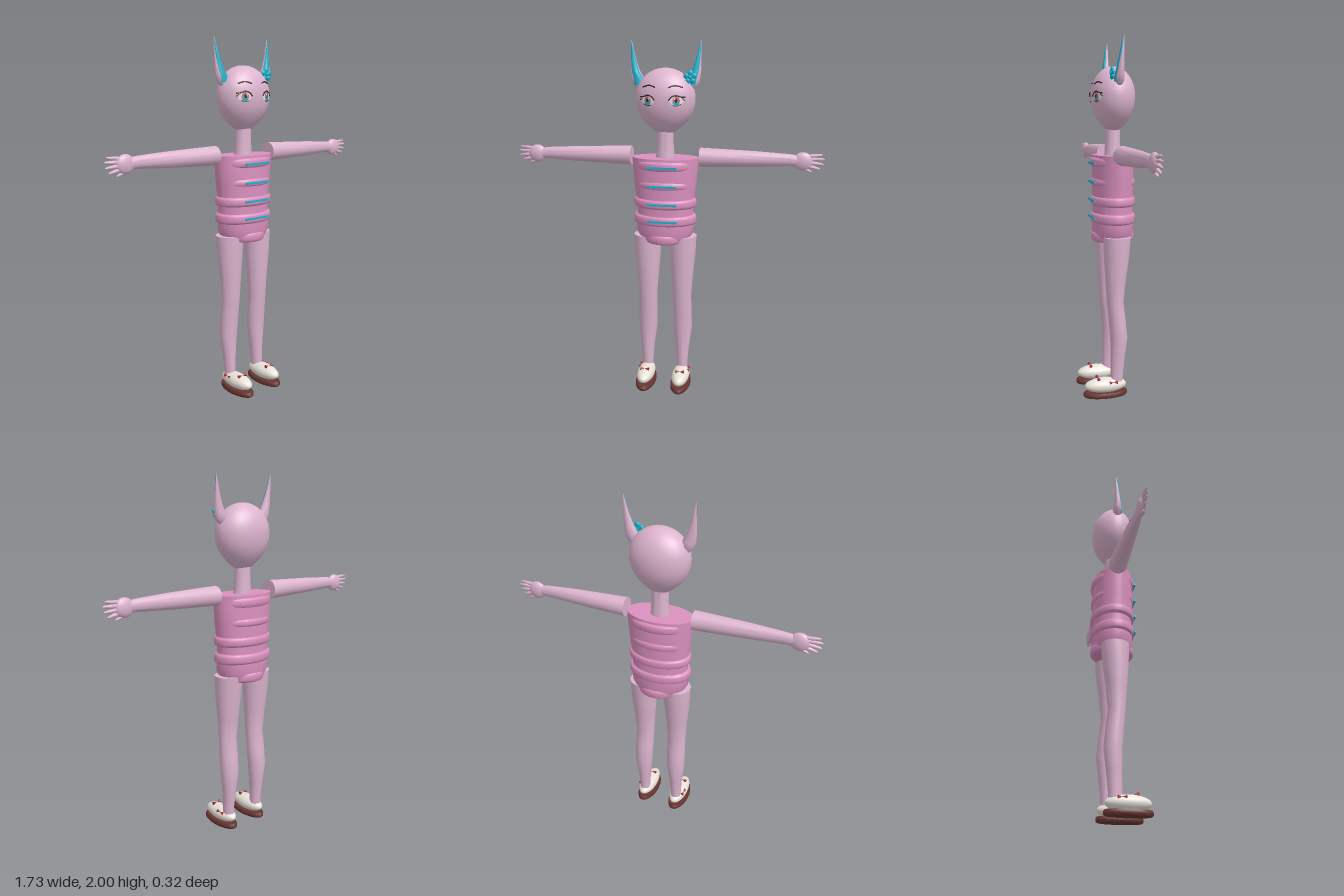
import * as THREE from 'three';
import { toCreasedNormals } from 'three/addons/utils/BufferGeometryUtils.js';

const mat = (name, color) => {
  const m = new THREE.MeshStandardMaterial({ color });
  m.name = name;
  return m;
};

// Closed tube through elliptical sections [y, rx, rz, cx, cz], listed from top to bottom
function loft(sections, sides = 32) {
  const last = sections.length - 1;
  const g = new THREE.CylinderGeometry(1, 1, 1, sides, last);
  const p = g.attributes.position;
  for (let i = 0; i < p.count; i++) {
    const [y, rx, rz, cx = 0, cz = 0] = sections[Math.round((0.5 - p.getY(i)) * last)];
    p.setXYZ(i, p.getX(i) * rx + cx, y, p.getZ(i) * rz + cz);
  }
  return toCreasedNormals(g, 0.8);
}

// Mirror across x = 0, reversing the corner order so faces still point outwards
function mirrored(geometry) {
  const g = geometry.index ? geometry.toNonIndexed() : geometry.clone();
  g.scale(-1, 1, 1);
  for (const a of Object.values(g.attributes)) {
    const n = a.itemSize;
    for (let i = 0; i < a.count; i += 3)
      for (let k = 0; k < n; k++) {
        const u = (i + 1) * n + k, v = (i + 2) * n + k;
        [a.array[u], a.array[v]] = [a.array[v], a.array[u]];
      }
  }
  return g;
}

// Egg-shaped head: half width at a height, and front surface depth at a point
const MID = -0.036, HEAD_Y = 1.695, HEAD_R = 0.165;
function headRadius(y) {
  const t = y > HEAD_Y ? (y - HEAD_Y) / 0.16 : (HEAD_Y - y) / 0.205;
  return HEAD_R * Math.sqrt(Math.max(0, 1 - t * t)) * (y > HEAD_Y ? 1 : 1 - 0.4 * t ** 3);
}
function faceZ(x, y) {
  const r = headRadius(y);
  return MID + 0.73 * Math.sqrt(Math.max(0, r * r - x * x));
}

// Thin ellipse lying on the face
function facePatch(x, y, rx, ry, lift) {
  const g = new THREE.RingGeometry(0, 1, 28, 4);
  const p = g.attributes.position;
  for (let i = 0; i < p.count; i++) {
    const px = x + p.getX(i) * rx, py = y + p.getY(i) * ry;
    p.setXYZ(i, px, py, faceZ(px, py) + lift);
  }
  g.computeVertexNormals();
  return g;
}

// Thin line lying on the face
function faceLine(points, radius) {
  const pts = points.map(([x, y]) => new THREE.Vector3(x, y, faceZ(x, y) + 0.004));
  return new THREE.TubeGeometry(new THREE.CatmullRomCurve3(pts), 16, radius, 6);
}

export function createModel() {
  const model = new THREE.Group();
  model.name = 'figure';
  const skin = mat('skin', 0xdcb4ce);
  const suit = mat('pink suit', 0xda90be);
  const teal = mat('teal', 0x1cb2cc);
  const white = mat('off white', 0xf0ebe2);
  const brown = mat('sole brown', 0x693632);
  const red = mat('red', 0xa83a3c);
  const dark = mat('lash dark', 0x38222e);
  const pink = mat('iris pink', 0xcf7886);

  const add = (name, geometry, material) => {
    const m = new THREE.Mesh(geometry, material);
    m.name = name;
    model.add(m);
  };
  const pair = (name, geometry, material) => {
    add(name + 'Left', geometry, material);
    add(name + 'Right', mirrored(geometry), material);
  };

  // Head and neck
  const headSections = [];
  for (let i = 0; i <= 32; i++) {
    const c = Math.cos((i / 32) * Math.PI);
    const y = HEAD_Y + c * (c > 0 ? 0.16 : 0.205);
    const r = Math.max(headRadius(y), 0.0005);
    headSections.push([y, r, r * 0.73, 0, MID]);
  }
  add('head', loft(headSections, 48), skin);
  add('neck', loft([[1.53, 0.046, 0.04, 0, MID], [1.45, 0.046, 0.041, 0, MID], [1.355, 0.054, 0.047, 0, MID]]), skin);

  // Eyes and brows
  pair('eyeWhite', facePatch(0.078, 1.688, 0.036, 0.026, 0.002), white);
  pair('iris', facePatch(0.077, 1.688, 0.019, 0.025, 0.0035), pink);
  pair('irisGlow', facePatch(0.077, 1.675, 0.014, 0.011, 0.005), teal);
  pair('pupil', facePatch(0.077, 1.692, 0.007, 0.012, 0.006), dark);
  pair('eyeGlint', facePatch(0.07, 1.699, 0.005, 0.006, 0.0075), white);
  pair('upperLash', faceLine([[0.038, 1.69], [0.053, 1.709], [0.078, 1.716], [0.102, 1.708], [0.122, 1.706]], 0.0035), dark);
  pair('outerLash', faceLine([[0.108, 1.702], [0.114, 1.694], [0.122, 1.69]], 0.0022), dark);
  pair('lowerLash', faceLine([[0.055, 1.667], [0.078, 1.661], [0.1, 1.67]], 0.0018), dark);
  pair('brow', faceLine([[0.034, 1.757], [0.07, 1.767], [0.108, 1.757]], 0.0035), dark);

  // Ears with teal inner faces
  const ear = [
    [2.0, 0.001, 0.001, 0.189, -0.05], [1.95, 0.008, 0.007, 0.184, -0.047],
    [1.9, 0.015, 0.012, 0.178, -0.043], [1.84, 0.026, 0.019, 0.168, -0.038],
    [1.8, 0.036, 0.024, 0.154, -0.036], [1.77, 0.034, 0.025, 0.15, -0.036],
    [1.745, 0.01, 0.012, 0.148, -0.036],
  ];
  pair('ear', loft(ear, 20), skin);
  pair('innerEar', loft(ear.slice(0, 6).map(([y, rx, rz, cx, cz]) =>
    [y - 0.006, rx * 0.86, rz * 0.9, cx - rx * 0.15, cz + 0.006]), 20), teal);

  // Flower by the left ear
  for (let i = 0; i < 5; i++) {
    const a = (i / 5) * Math.PI * 2 + Math.PI / 2;
    const petal = new THREE.SphereGeometry(0.0155, 14, 10).scale(1, 1, 0.55);
    add('flowerPetal', petal.translate(0.14 + 0.022 * Math.cos(a), 1.808 + 0.022 * Math.sin(a), 0.002), teal);
  }
  add('flowerCentre', new THREE.SphereGeometry(0.011, 12, 8).translate(0.14, 1.808, 0.006), teal);

  // Torso
  add('torso', loft([
    [1.37, 0.188, 0.108, 0, MID], [1.3, 0.183, 0.112, 0, MID], [1.2, 0.174, 0.113, 0, MID],
    [1.08, 0.158, 0.11, 0, MID], [1.0, 0.163, 0.112, 0, MID], [0.94, 0.162, 0.113, 0, MID],
    [0.905, 0.14, 0.105, 0, MID],
  ], 48), suit);

  // Raised bands: [bottom, top, rx, rz]
  const bands = [
    [1.305, 1.357, 0.172, 0.123], [1.2, 1.245, 0.168, 0.121], [1.09, 1.142, 0.178, 0.122],
    [0.992, 1.048, 0.178, 0.122], [0.885, 0.94, 0.122, 0.12],
  ];
  for (const [y0, y1, rx, rz] of bands) {
    const ring = (y, s) => [y, rx - s, rz - s, 0, MID];
    add('torsoBand', loft([ring(y1, 0.012), ring(y1 - 0.006, 0.003), ring(y1 - 0.014, 0),
      ring(y0 + 0.014, 0), ring(y0 + 0.006, 0.003), ring(y0, 0.012)], 48), suit);
  }
  for (const y of [1.326, 1.221, 1.119, 1.022])
    add('chestStripe', new THREE.BoxGeometry(0.165, 0.011, 0.009).translate(0, y, 0.084), teal);

  // Arms, built upright and turned outwards
  const AY = 1.373;
  pair('arm', loft([
    [0.73, 0.03, 0.02, -AY + 0.004, -0.041], [0.68, 0.033, 0.022, -AY, -0.041],
    [0.5, 0.043, 0.036, -AY, -0.041], [0.35, 0.048, 0.045, -AY, -0.042], [0.193, 0.053, 0.053, -AY, -0.043],
  ]).rotateZ(-Math.PI / 2), skin);
  pair('palm', new THREE.SphereGeometry(0.05, 24, 16).scale(1.04, 1, 0.5).translate(0.752, 1.368, -0.041), skin);

  // Fingers: [root x, root y, length, angle]
  const fingers = [[0.775, 1.396, 0.08, 0.12], [0.785, 1.38, 0.082, 0.03], [0.785, 1.362, 0.078, -0.1],
    [0.775, 1.345, 0.072, -0.24], [0.745, 1.335, 0.062, -0.4]];
  for (const [x, y, len, a] of fingers) {
    const g = loft([[len, 0.002, 0.002], [len * 0.9, 0.006, 0.006], [len * 0.5, 0.009, 0.009], [0, 0.011, 0.011]], 10);
    pair('finger', g.rotateZ(a - Math.PI / 2).translate(x, y, -0.041), skin);
  }

  // Legs
  pair('leg', loft([
    [0.92, 0.08, 0.078, 0.101, -0.037], [0.8, 0.074, 0.07, 0.102, -0.034], [0.68, 0.063, 0.058, 0.101, -0.03],
    [0.55, 0.054, 0.047, 0.101, -0.027], [0.45, 0.055, 0.048, 0.103, -0.038], [0.34, 0.054, 0.049, 0.105, -0.048],
    [0.22, 0.039, 0.041, 0.105, -0.042], [0.12, 0.031, 0.036, 0.105, -0.036], [0.07, 0.031, 0.035, 0.105, -0.036],
  ]), skin);

  // Shoes with soles and little bows
  pair('shoeSole', loft([[0.03, 0.054, 0.122, 0.105, 0.031], [0.022, 0.058, 0.128, 0.105, 0.031],
    [0.008, 0.058, 0.128, 0.105, 0.031], [0, 0.052, 0.12, 0.105, 0.031]]), brown);
  pair('shoe', new THREE.SphereGeometry(1, 32, 20).scale(0.051, 0.043, 0.121).translate(0.105, 0.064, 0.03), white);
  for (const side of [-1, 1]) {
    const front = new THREE.ConeGeometry(0.01, 0.026, 8).rotateZ(side * Math.PI / 2);
    pair('toeBow', front.translate(0.105 + side * 0.013, 0.107, 0.075), red);
    const ankle = new THREE.ConeGeometry(0.01, 0.024, 8).rotateX(side * Math.PI / 2);
    pair('ankleBow', ankle.translate(0.145, 0.087, -0.008 - side * 0.011), red);
  }
  return model;
}
